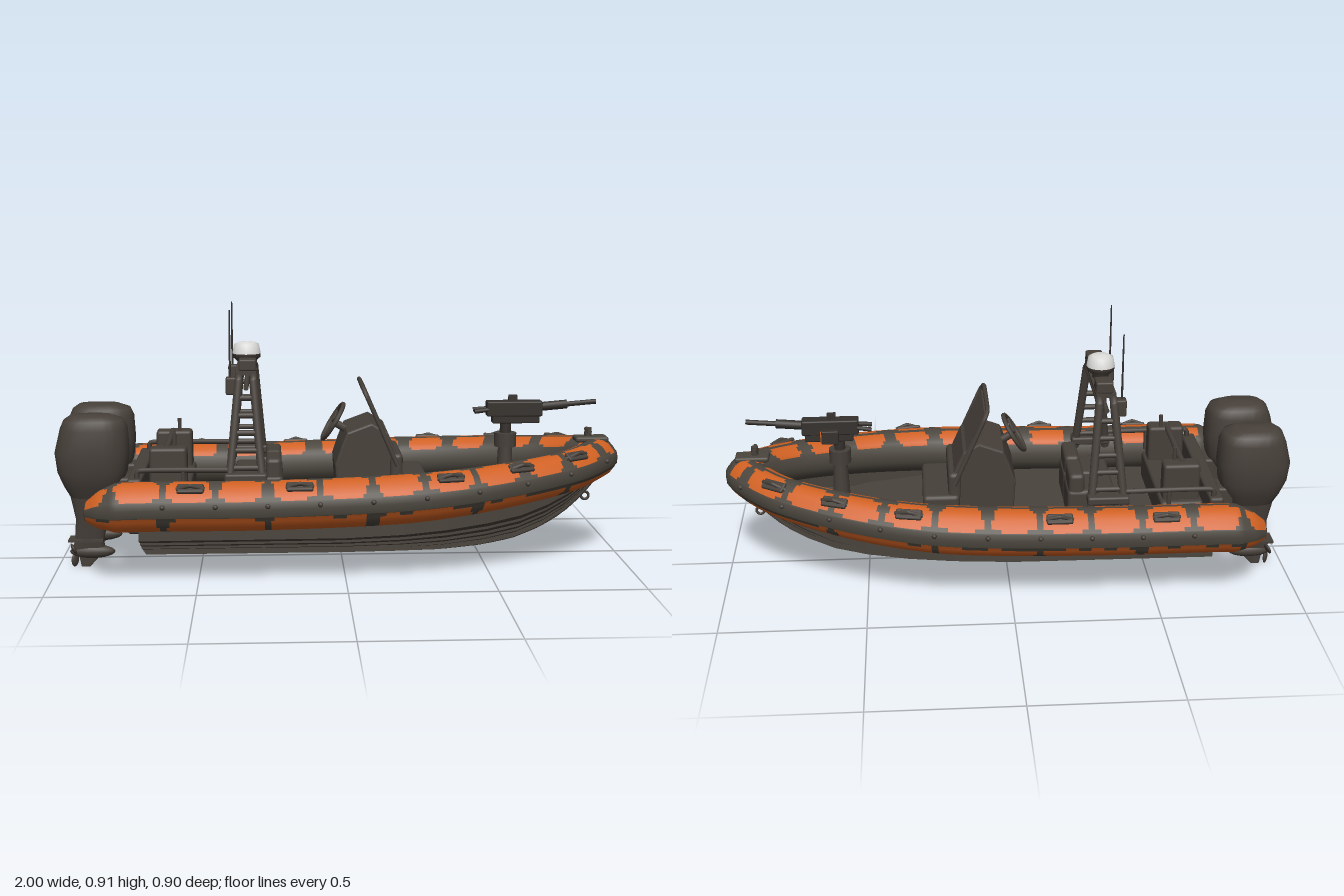
import * as THREE from 'three';
import { RoundedBoxGeometry } from 'three/addons/geometries/RoundedBoxGeometry.js';

const mat = (name, color) => Object.assign(new THREE.MeshStandardMaterial({ color }), { name });
const V = (x, y, z) => new THREE.Vector3(x, y, z);
const lerp = THREE.MathUtils.lerp;
const hash = (a, b) => Math.abs(Math.sin(a * 12.9898 + b * 78.233) * 43758.5453) % 1;

// Surface through equal-length rows of points; pick(i, j) chooses the material group of each cell
function grid(rows, closed, pick = () => 0) {
  const n = rows[0].length, groups = [[], []];
  for (let i = 0; i < rows.length - 1; i++)
    for (let j = 0; j < (closed ? n : n - 1); j++) {
      const k = (j + 1) % n, a = i * n + j, b = i * n + k, c = a + n, d = b + n;
      groups[pick(i, j)].push(a, b, d, a, d, c);
    }
  const g = new THREE.BufferGeometry().setFromPoints(rows.flat());
  g.setIndex(groups.flat());
  g.addGroup(0, groups[0].length, 0);
  g.addGroup(groups[0].length, groups[1].length, 1);
  g.computeVertexNormals();
  return g;
}

// Vertical loft of rounded sections: [y, xMin, xMax, halfWidth]
function loft(sections, n = 24) {
  return grid(sections.map(([y, x0, x1, hz]) => Array.from({ length: n }, (_, j) => {
    const t = j / n * Math.PI * 2, c = Math.cos(t), s = Math.sin(t), p = 0.75;
    return V((x0 + x1) / 2 + (x1 - x0) / 2 * Math.sign(c) * Math.abs(c) ** p, y, -hz * Math.sign(s) * Math.abs(s) ** p);
  })), true);
}

// Piecewise-linear lookup in a table of [x, value]
function at(table, x) {
  let i = 0;
  while (i < table.length - 2 && x > table[i + 1][0]) i++;
  const a = table[i], b = table[i + 1];
  return lerp(a[1], b[1], THREE.MathUtils.clamp((x - a[0]) / (b[0] - a[0]), 0, 1));
}

export function createModel() {
  const model = new THREE.Group();
  model.name = 'inflatableBoat';
  const orange = mat('orange fabric', 0xcf6022), rubber = mat('rubber', 0x4b463e), dark = mat('dark fittings', 0x47403a);
  const hullMat = mat('hull', 0x4b443d), deckMat = mat('deck', 0x4a433d), metal = mat('gunmetal', 0x35312d), white = mat('white', 0xdcdcda);
  hullMat.side = THREE.DoubleSide;

  const add = (name, geo, m, parent = model) => {
    const mesh = new THREE.Mesh(geo, m);
    mesh.name = name;
    parent.add(mesh);
    return mesh;
  };
  const box = (name, m, x0, x1, y0, y1, z0, z1, r = 0) => {
    const s = [x1 - x0, y1 - y0, z1 - z0];
    const b = add(name, r ? new RoundedBoxGeometry(...s, 2, r) : new THREE.BoxGeometry(...s), m);
    b.position.set((x0 + x1) / 2, (y0 + y1) / 2, (z0 + z1) / 2);
    return b;
  };
  const rod = (name, m, a, b, r, r2 = r) => {
    const d = b.clone().sub(a);
    const c = add(name, new THREE.CylinderGeometry(r2, r, d.length(), 10), m);
    c.position.copy(a).add(b).multiplyScalar(0.5);
    c.quaternion.setFromUnitVectors(V(0, 1, 0), d.normalize());
    return c;
  };
  const pipe = (name, m, pts, r) =>
    add(name, new THREE.TubeGeometry(new THREE.CatmullRomCurve3(pts, false, 'catmullrom', 0.15), 40, r, 8), m);

  // Inflatable collar: dark seams and rubbing strake between worn orange panels
  const half = [[-0.868, 0.255, 0.345], [-0.78, 0.268, 0.353], [-0.3, 0.272, 0.355], [0.1, 0.283, 0.351], [0.3, 0.293, 0.333],
    [0.5, 0.308, 0.284], [0.68, 0.325, 0.212], [0.8, 0.338, 0.143], [0.885, 0.352, 0.064]];
  const path = new THREE.CatmullRomCurve3([...half.map(([x, y, z]) => V(x, y, -z)), V(0.925, 0.358, 0),
    ...half.slice().reverse().map(([x, y, z]) => V(x, y, z))]);
  const radius = [[-0.868, 0.036], [-0.83, 0.062], [-0.77, 0.084], [0.2, 0.084], [0.93, 0.07]];
  const angles = [-165, -140, -115, -95, -80, -65, -45, -26, -17, -14, 3, 18, 21, 30, 52, 72, 82, 92, 103, 115, 130, 140, 148, 172];
  const N = 352, period = 16;
  const frame = (u, deg, k = 1) => {
    const c = path.getPointAt(u), t = path.getTangentAt(u), a = deg * Math.PI / 180;
    const out = V(t.z, 0, -t.x).normalize(), r = at(radius, c.x) * k;
    return c.addScaledVector(out, r * Math.cos(a)).add(V(0, r * Math.sin(a), 0));
  };
  const rings = Array.from({ length: N + 1 }, (_, i) => angles.map(a => frame(i / N, a, a >= -14 && a <= 18 ? 1.05 : 1)));
  add('collar', grid(rings, true, (i, j) => {
    const a = angles[j], fromBow = Math.abs(i + 0.5 - N / 2);
    const border = Math.floor(i / period), gap = Math.abs(i + 0.5 - (border + 0.5) * period);
    const jag = hash(border, j) > 0.5 ? 1 : 0;
    if (fromBow < 2) return 0;
    if (a >= -80 && a < -17) return a >= -26 && (fromBow < 36 || hash(i >> 2, j) > 0.6) || (border % 2 === 0 && gap < 1 + jag) ? 0 : 1;
    if (a >= 21 && a < 92) return gap > 1 + jag + (a === 21 || a === 82 ? 2 : 0) ? 1 : 0;
    return a >= 103 && a < 148 && gap > 2 + jag + (a === 140 ? 1 : 0) ? 1 : 0;
  }), [rubber, orange]);
  for (const s of [-1, 1]) {
    const cap = add('collarEnd', new THREE.SphereGeometry(0.036, 16, 10), rubber);
    cap.position.set(-0.868, 0.255, 0.345 * s);
    cap.scale.x = 0.3;
  }

  // Carrying handles and lashing cleats along the collar
  for (const u of [0.092, 0.187, 0.318, 0.385, 0.445])
    for (const w of [u, 1 - u]) {
      const t = path.getTangentAt(w);
      const pad = add('handlePad', new RoundedBoxGeometry(0.09, 0.014, 0.038, 2, 0.006), dark);
      pad.position.copy(frame(w, 55, 1.02));
      pad.rotation.set(-0.6, Math.atan2(-t.z, t.x), 0, 'YXZ');
      pipe('handle', dark, [-0.012, 0, 0.012].map((d, k) => frame(w + d, 55, k === 1 ? 1.2 : 1)), 0.007);
    }
  for (let i = 1; i < 21; i++)
    add('cleat', new THREE.SphereGeometry(0.009, 8, 6), dark).position.copy(frame((i + 0.5) / 22, 10, 1.06));

  // V hull with lapped strakes: [x, half width, keel height, sheer height]
  const stations = [[-0.7, 0.33, 0.02, 0.23], [0, 0.33, 0.02, 0.235], [0.2, 0.32, 0.022, 0.245], [0.35, 0.3, 0.025, 0.26],
    [0.5, 0.265, 0.04, 0.275], [0.62, 0.22, 0.064, 0.285], [0.72, 0.17, 0.105, 0.3], [0.8, 0.125, 0.155, 0.315],
    [0.87, 0.075, 0.22, 0.33], [0.93, 0.015, 0.295, 0.34]];
  const side = [[1, 1]];
  for (let k = 6; k >= 1; k--) {
    const w = k / 6, f = 0.62 * w ** 1.35;
    side.push([w, f + 0.018], [w, f - 0.022]);
  }
  const hullRows = stations.map(([x, w, k, t]) => {
    const pts = side.map(([a, b]) => V(x, k + (t - k) * b, w * a));
    return [...pts, V(x, k, 0), ...pts.slice().reverse().map(p => V(p.x, p.y, -p.z))];
  });
  const hullGeo = grid(hullRows, false).toNonIndexed();
  hullGeo.clearGroups();
  hullGeo.computeVertexNormals();
  add('hull', hullGeo, hullMat);
  add('transomFace', grid([hullRows[0].map(() => V(-0.7, 0.2, 0)), hullRows[0]], false), [hullMat, hullMat]);
  pipe('keelStrip', hullMat, stations.map(([x, , k]) => V(x, k + 0.004, 0)), 0.01);
  const eye = add('towingEye', new THREE.TorusGeometry(0.014, 0.005, 8, 16), dark);
  eye.position.set(0.885, 0.215, 0);

  // Deck and transom
  const deckPts = [[-0.7, 0.32], [0.2, 0.3], [0.5, 0.225], [0.62, 0.165], [0.72, 0.105], [0.8, 0.04]];
  const deck = add('deck', new THREE.ExtrudeGeometry(new THREE.Shape([...deckPts.map(([x, z]) => new THREE.Vector2(x, z)),
    ...deckPts.slice().reverse().map(([x, z]) => new THREE.Vector2(x, -z))]), { depth: 0.01, bevelEnabled: false }), deckMat);
  deck.rotation.x = -Math.PI / 2;
  deck.position.y = 0.2;
  box('transom', dark, -0.74, -0.69, 0.16, 0.35, -0.29, 0.29, 0.01);

  // Twin outboard motors
  for (const s of [-1, 1]) {
    const motor = new THREE.Group();
    motor.name = 'outboardMotor';
    motor.position.z = 0.125 * s;
    model.add(motor);
    add('cowl', loft([[0.25, -0.945, -0.8, 0.04], [0.3, -0.972, -0.772, 0.066], [0.35, -0.992, -0.75, 0.085], [0.42, -1, -0.742, 0.092],
      [0.5, -0.98, -0.747, 0.087], [0.53, -0.967, -0.76, 0.075], [0.545, -0.945, -0.8, 0.05], [0.549, -0.881, -0.879, 0.001]]), dark, motor);
    add('leg', loft([[0.055, -0.955, -0.83, 0.014], [0.1, -0.94, -0.84, 0.022], [0.18, -0.935, -0.82, 0.03], [0.28, -0.955, -0.785, 0.048]]), dark, motor);
    add('antiVentilationPlate', new THREE.BoxGeometry(0.12, 0.008, 0.07), dark, motor).position.set(-0.9, 0.105, 0);
    const pod = add('gearcase', new THREE.SphereGeometry(0.024, 14, 10), dark, motor);
    pod.scale.x = 3.3;
    pod.position.set(-0.88, 0.06, 0);
    add('skeg', loft([[0.005, -0.92, -0.89, 0.003], [0.06, -0.93, -0.84, 0.006]]), dark, motor);
    for (let k = 0; k < 3; k++) {
      const blade = add('propellerBlade', new THREE.SphereGeometry(0.02, 10, 8).scale(0.35, 1.2, 1).translate(0, 0.03, 0), dark, motor);
      blade.position.set(-0.942, 0.06, 0);
      blade.rotation.set(k * Math.PI * 2 / 3 + Math.PI / 3, 0.5, 0);
    }
    box('motorBracket', dark, -0.8, -0.72, 0.15, 0.33, 0.125 * s - 0.045, 0.125 * s + 0.045, 0.01);
  }

  // Radar arch with ladder sides
  for (const s of [-1, 1]) {
    const foot = [V(-0.395, 0.32, 0.262 * s), V(-0.28, 0.32, 0.262 * s)], top = [V(-0.36, 0.67, 0.185 * s), V(-0.31, 0.67, 0.185 * s)];
    for (let k = 0; k < 2; k++) rod('archLeg', dark, foot[k], top[k], 0.015);
    for (let k = 1; k < 6; k++) rod('archRung', dark, foot[0].clone().lerp(top[0], k / 6), foot[1].clone().lerp(top[1], k / 6), 0.01);
    box('archFoot', dark, -0.41, -0.265, 0.335, 0.365, 0.262 * s - 0.03, 0.262 * s + 0.03, 0.008);
    box('floodlight', dark, -0.36, -0.3, 0.7, 0.74, 0.135 * s - 0.033, 0.135 * s + 0.033, 0.006);
    box('sideLamp', dark, -0.405, -0.36, 0.62, 0.68, 0.165 * s - 0.02, 0.165 * s + 0.02, 0.006);
    rod('antenna', metal, V(-0.39, 0.66, 0.16 * s), V(-0.39, 0.91, 0.16 * s), 0.004, 0.0025);
    // Stern grab rail
    pipe('sternRail', dark, [V(-0.7, 0.3, 0.265 * s), V(-0.7, 0.375, 0.265 * s), V(-0.4, 0.375, 0.265 * s)], 0.009);
    rod('railPost', dark, V(-0.55, 0.3, 0.265 * s), V(-0.55, 0.375, 0.265 * s), 0.008);
  }
  for (const x of [-0.36, -0.31])
    pipe('archTop', dark, [V(x, 0.66, -0.188), V(x, 0.68, -0.165), V(x, 0.68, 0.165), V(x, 0.66, 0.188)], 0.014);
  rod('archBrace', dark, V(-0.335, 0.645, -0.19), V(-0.335, 0.645, 0.19), 0.009);
  box('radarShelf', dark, -0.37, -0.3, 0.685, 0.7, -0.17, 0.17);
  const lathe = (name, m, pts) => {
    const l = add(name, new THREE.LatheGeometry(pts.map(p => new THREE.Vector2(...p)), 24), m);
    l.position.set(-0.335, 0, 0);
  };
  lathe('radarBase', dark, [[0.03, 0.69], [0.028, 0.71], [0.048, 0.728], [0.05, 0.742]]);
  lathe('radarDome', white, [[0.05, 0.742], [0.044, 0.774], [0.03, 0.781], [0, 0.785]]);

  // Crew seats and stern bench
  for (const s of [-1, 1]) {
    const z = 0.08 * s;
    box('crewSeat', dark, -0.38, -0.21, 0.21, 0.33, z - 0.078, z + 0.078, 0.015);
    box('crewSeatBack', dark, -0.27, -0.215, 0.31, 0.39, z - 0.075, z + 0.075, 0.015);
    box('sternLocker', dark, -0.67, -0.54, 0.3, 0.44, 0.17 * s - 0.035, 0.17 * s + 0.035, 0.012);
    rod('sternPost', dark, V(-0.585, 0.4, 0.15 * s), V(-0.585, 0.485, 0.15 * s), 0.007);
  }
  box('sternBench', dark, -0.68, -0.53, 0.205, 0.31, -0.23, 0.23, 0.012);
  rod('sternCrossbar', dark, V(-0.61, 0.435, -0.17), V(-0.61, 0.435, 0.17), 0.011);

  // Helm console, windscreen, wheel and forward seat
  const prof = [[-0.01, 0.2], [-0.02, 0.36], [0, 0.42], [0.02, 0.47], [0.1, 0.5], [0.15, 0.47], [0.19, 0.38], [0.19, 0.2]];
  const con = add('console', new THREE.ExtrudeGeometry(new THREE.Shape(prof.map(p => new THREE.Vector2(...p))),
    { depth: 0.24, bevelSize: 0.008, bevelThickness: 0.008, bevelSegments: 2 }), dark);
  con.position.z = -0.12;
  const screen = box('windscreen', deckMat, 0.113, 0.121, 0.44, 0.62, -0.13, 0.13);
  screen.rotation.z = 0.46;
  pipe('windscreenFrame', dark, [V(0.19, 0.36, -0.15), V(0.085, 0.6, -0.145), V(0.07, 0.632, -0.12),
    V(0.07, 0.632, 0.12), V(0.085, 0.6, 0.145), V(0.19, 0.36, 0.15)], 0.008);
  box('forwardSeat', dark, 0.17, 0.3, 0.21, 0.32, -0.15, 0.15, 0.015);
  box('forwardSeatBack', dark, 0.165, 0.21, 0.3, 0.4, -0.14, 0.14, 0.015);
  const axis = V(-0.85, 0.52, 0).normalize(), hub = V(-0.03, 0.495, 0);
  const wheel = add('steeringWheel', new THREE.TorusGeometry(0.072, 0.008, 8, 28), dark);
  wheel.position.copy(hub);
  wheel.quaternion.setFromUnitVectors(V(0, 0, 1), axis);
  for (let k = 0; k < 3; k++) {
    const a = k * Math.PI * 2 / 3;
    rod('wheelSpoke', dark, hub, V(Math.cos(a), Math.sin(a), 0).multiplyScalar(0.07).applyQuaternion(wheel.quaternion).add(hub), 0.005);
  }
  rod('steeringColumn', dark, hub, hub.clone().addScaledVector(axis, -0.08), 0.014);

  // Bow mount
  rod('mountPedestal', dark, V(0.59, 0.2, 0), V(0.59, 0.4, 0), 0.035, 0.025);
  rod('mountCollar', dark, V(0.59, 0.4, 0), V(0.59, 0.45, 0), 0.04);
  rod('mountPivot', metal, V(0.59, 0.44, 0), V(0.59, 0.51, 0), 0.02);
  box('cradle', metal, 0.54, 0.71, 0.485, 0.515, -0.022, 0.022, 0.005);
  box('receiver', metal, 0.52, 0.72, 0.51, 0.565, -0.025, 0.025, 0.006);
  box('feedBox', metal, 0.59, 0.65, 0.485, 0.535, -0.048, -0.02, 0.004);
  box('feedBoxPlate', orange, 0.65, 0.654, 0.49, 0.527, -0.045, -0.025);
  box('sight', metal, 0.6, 0.63, 0.56, 0.585, -0.01, 0.01);
  rod('barrelSleeve', metal, V(0.72, 0.543, 0), V(0.81, 0.551, 0), 0.016);
  rod('barrel', metal, V(0.8, 0.55, 0), V(0.915, 0.56, 0), 0.009);
  for (const s of [-1, 1]) rod('grip', metal, V(0.525, 0.535, 0.018 * s), V(0.475, 0.53, 0.025 * s), 0.008);

  // Bow mooring bitt
  box('bowPad', rubber, 0.84, 0.96, 0.415, 0.435, -0.033, 0.033, 0.008);
  rod('bittPost', dark, V(0.89, 0.43, 0), V(0.89, 0.465, 0), 0.013);
  rod('bittBar', dark, V(0.89, 0.455, -0.03), V(0.89, 0.455, 0.03), 0.008);
  return model;
}
